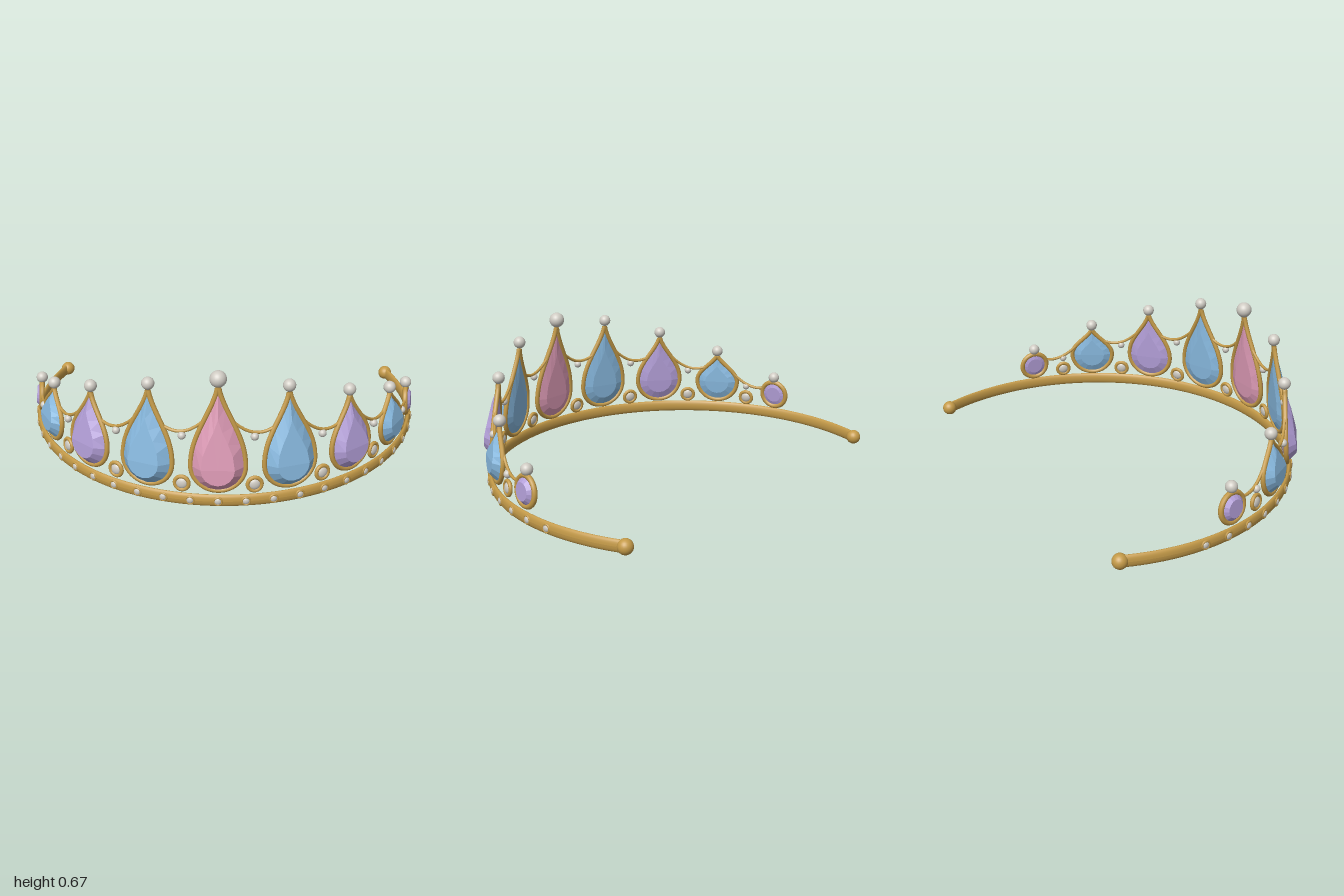
import * as THREE from 'three';

const mat = (name, color) => Object.assign(new THREE.MeshStandardMaterial({ color }), { name });
const LEAN = 0.084, BASE_R = 0.9765, CENTRE_Z = -0.3;
const rad = THREE.MathUtils.degToRad;

// Outline of a stone, counter-clockwise: round below, drawn to a tip above (or a full circle)
function outline(s, n) {
  const w = s.w - s.wire, top = s.top - s.wire * 0.5, pts = [];
  if (s.round) {
    for (let i = 0; i < 4 * n; i++) {
      const a = (i / (4 * n)) * Math.PI * 2;
      pts.push(new THREE.Vector2(w * Math.cos(a), s.cy + w * Math.sin(a)));
    }
    return pts;
  }
  const curve = sideCurve(s, w, top);
  const side = curve.getPoints(n);
  pts.push(...side);
  for (let i = n - 1; i >= 0; i--) pts.push(new THREE.Vector2(-side[i].x, side[i].y));
  for (let i = 1; i < n * 2; i++) {
    const a = Math.PI * (1 + i / (n * 2));
    pts.push(new THREE.Vector2(w * Math.cos(a), s.cy + w * Math.sin(a)));
  }
  return pts;
}

function sideCurve(s, w, top) {
  const h = top - s.cy;
  return new THREE.CubicBezierCurve(
    new THREE.Vector2(w, s.cy), new THREE.Vector2(w, s.cy + 0.4 * h),
    new THREE.Vector2(0.25 * w, s.cy + 0.65 * h), new THREE.Vector2(0, top));
}

// Faceted stone: rings from the back centre over the girdle to the front table
function gemGeometry(s) {
  const pts = outline(s, 4), n = pts.length, pos = [], idx = [];
  const rings = [[0, -0.4], [0.6, -0.4], [1, 0], [0.62, 1], [0, 1]];
  for (const [k, d] of rings) {
    for (const p of pts) {
      const y = (p.y - s.cy) * k;
      const fade = s.round ? 1 : 1 - 0.7 * Math.max(0, y / (s.top - s.cy));
      pos.push(p.x * k, s.cy + y, s.depth * d * fade);
    }
  }
  for (let r = 0; r < rings.length - 1; r++) {
    for (let i = 0; i < n; i++) {
      const j = (i + 1) % n, a = r * n + i, b = r * n + j, c = b + n, d = a + n;
      if (r > 0) idx.push(a, b, c);
      else idx.push(a, c, d);
      if (r > 0 && r < rings.length - 2) idx.push(a, c, d);
    }
  }
  const g = new THREE.BufferGeometry();
  g.setAttribute('position', new THREE.Float32BufferAttribute(pos, 3));
  g.setIndex(idx);
  const flat = g.toNonIndexed();
  flat.computeVertexNormals();
  return flat;
}

export function createModel() {
  const gold = mat('gold', 0xc49a48), pearl = mat('pearl', 0xcfcbc3);
  const pink = mat('pink stone', 0xdc9ab5), blue = mat('blue stone', 0x88b9df), violet = mat('violet stone', 0xb39fd8);

  const model = new THREE.Group();
  model.name = 'tiara';
  const ring = new THREE.Group();
  ring.name = 'ring';
  ring.position.z = CENTRE_Z;
  model.add(ring);

  const add = (parent, name, geo, material, x = 0, y = 0, z = 0) => {
    const m = new THREE.Mesh(geo, material);
    m.name = name;
    m.position.set(x, y, z);
    parent.add(m);
    return m;
  };
  // Group standing on the ring at an angle from the front, leaning inward
  const station = (name, deg, r = BASE_R, lean = LEAN) => {
    const turn = new THREE.Group(), g = new THREE.Group();
    turn.name = name + 'Station';
    g.name = name;
    turn.rotation.y = rad(deg);
    g.position.z = r;
    g.rotation.x = -Math.atan(lean);
    turn.add(g);
    ring.add(turn);
    return g;
  };
  const onRing = (a, y, out = 0) => {
    const r = BASE_R - LEAN * y + out;
    return new THREE.Vector3(r * Math.sin(a), y, r * Math.cos(a));
  };
  const ball = (r, seg = 24) => new THREE.SphereGeometry(r, seg, Math.round(seg * 0.67));

  // Open band with an oval section and a ball at each end
  const END = rad(112.8), section = [];
  for (let i = 0; i <= 20; i++) {
    const a = (i / 20) * Math.PI * 2;
    section.push(new THREE.Vector2(0.98 + 0.013 * Math.cos(a), 0.04 + 0.03 * Math.sin(a)));
  }
  add(ring, 'band', new THREE.LatheGeometry(section, 120, -END, END * 2), gold);
  for (const s of [-1, 1]) {
    add(ring, 'bandEnd', ball(0.036), gold, 0.98 * Math.sin(s * END), 0.041, 0.98 * Math.cos(END));
  }

  // Small studs along the band
  for (let i = -12; i <= 12; i++) {
    const g = station('stud', i * 7.5, 0.99, 0);
    add(g, 'studRim', new THREE.TorusGeometry(0.019, 0.0055, 8, 20), gold, 0, 0.04, 0);
    add(g, 'studPearl', ball(0.017, 16), pearl, 0, 0.04, 0).scale.z = 0.58;
  }

  // Large stones from the centre outward
  const stones = [
    { w: 0.137, cy: 0.212, top: 0.605, wire: 0.012, depth: 0.053, color: pink, pearlY: 0.638, pearlR: 0.039 },
    { w: 0.136, cy: 0.211, top: 0.56, wire: 0.012, depth: 0.052, color: blue, pearlY: 0.586, pearlR: 0.03 },
    { w: 0.132, cy: 0.207, top: 0.465, wire: 0.012, depth: 0.048, color: violet, pearlY: 0.491, pearlR: 0.03 },
    { w: 0.125, cy: 0.2, top: 0.358, wire: 0.012, depth: 0.042, color: blue, pearlY: 0.381, pearlR: 0.03 },
    { w: 0.083, cy: 0.156, top: 0.239, wire: 0.013, depth: 0.025, color: violet, pearlY: 0.256, pearlR: 0.029, round: true },
  ];
  for (let i = -4; i <= 4; i++) {
    const s = stones[Math.abs(i)], g = station('stone', i * 20);
    add(g, 'gem', gemGeometry(s), s.color);
    const path = outline(s, 12).map((p) => new THREE.Vector3(p.x, p.y, 0));
    const loop = new THREE.CatmullRomCurve3(path, true, 'centripetal');
    add(g, 'gemFrame', new THREE.TubeGeometry(loop, 96, s.wire, 8, true), gold);
    add(g, 'tipPearl', ball(s.pearlR), pearl, 0, s.pearlY, 0);
  }

  // Point on the side of a stone where a swag is attached
  const anchor = (s, t) => (s.round
    ? new THREE.Vector2(s.w * 0.92, s.cy + s.w * 0.3)
    : sideCurve(s, s.w - s.wire, s.top).getPoint(t));
  const swagY = [0.375, 0.336, 0.278, 0.2];

  for (const side of [-1, 1]) {
    for (let i = 0; i < 4; i++) {
      const mid = rad(side * (i * 20 + 10));

      // Round pearl in a ring between two stones
      const g = station('roundSetting', side * (i * 20 + 10));
      add(g, 'settingRing', new THREE.TorusGeometry(0.033, 0.0095, 10, 28), gold, 0, 0.114, 0);
      add(g, 'settingPearl', ball(0.027, 20), pearl, 0, 0.114, 0).scale.z = 0.5;

      // Hanging wire between two stones with a pearl at its lowest point
      const p = anchor(stones[i], 0.55), q = anchor(stones[i + 1], 0.5);
      const a0 = rad(i * 20) + p.x / 0.96, a1 = rad(i * 20 + 20) - q.x / 0.96;
      const pts = [];
      for (let k = 0; k <= 12; k++) {
        const t = k / 12;
        const y = p.y * (1 - t) * (1 - 2 * t) + swagY[i] * 4 * t * (1 - t) + q.y * t * (2 * t - 1);
        pts.push(onRing(side * (a0 + (a1 - a0) * t), y));
      }
      add(ring, 'swag', new THREE.TubeGeometry(new THREE.CatmullRomCurve3(pts), 28, 0.0075, 8), gold);
      const drop = onRing(mid, swagY[i] - 0.02, 0.004);
      add(ring, 'swagPearl', ball(0.019, 18), pearl, drop.x, drop.y, drop.z);
    }
  }
  return model;
}
